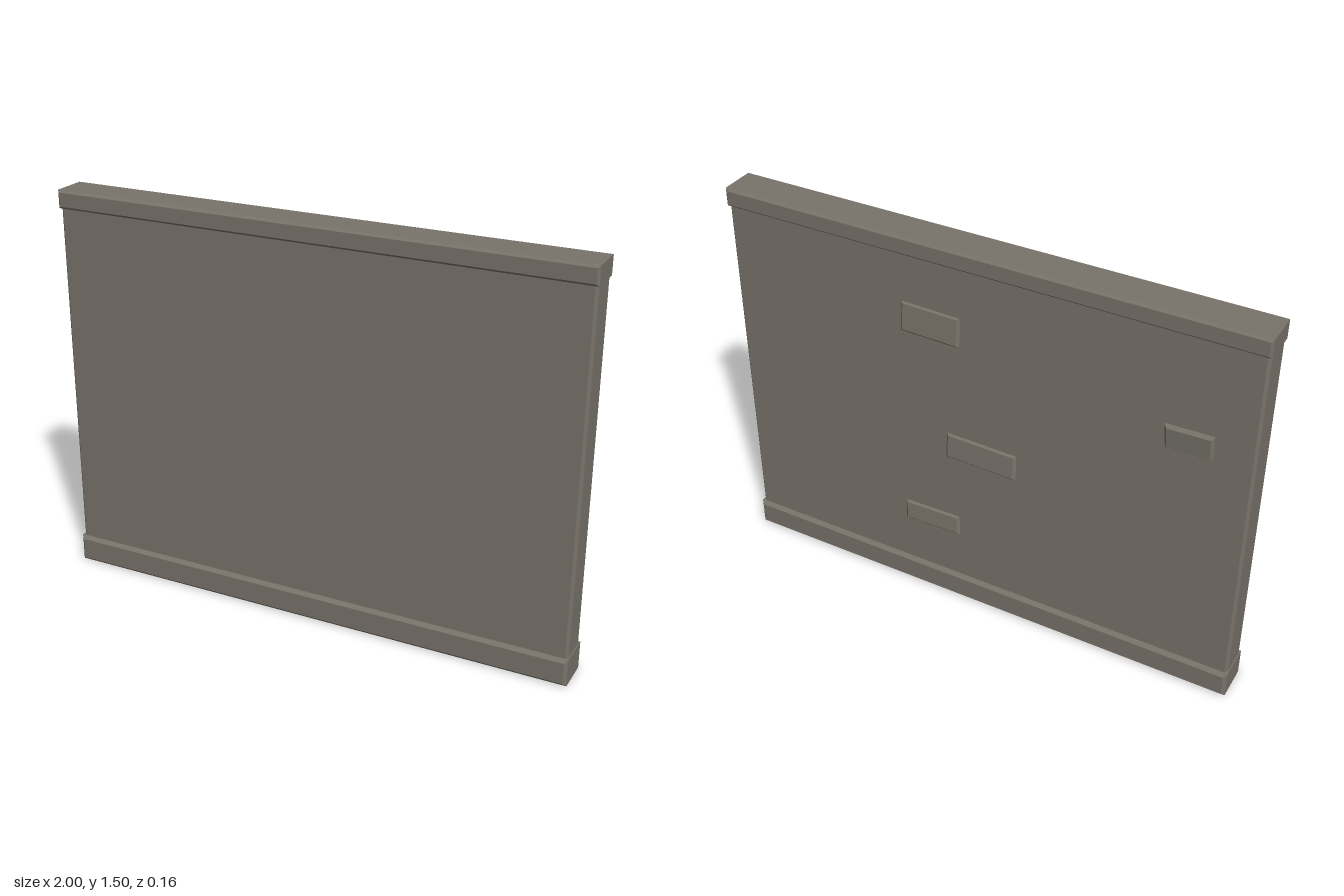
import * as THREE from 'three';

const material = new THREE.MeshStandardMaterial({ color: 0x78736a, flatShading: true });

// Box with a single flat chamfer on every edge, centred on its own origin
function chamferedBox(name, w, h, d, c) {
  const x = w / 2 - c, y = h / 2 - c;
  const shape = new THREE.Shape([
    new THREE.Vector2(-x, -y), new THREE.Vector2(x, -y),
    new THREE.Vector2(x, y), new THREE.Vector2(-x, y),
  ]);
  const geometry = new THREE.ExtrudeGeometry(shape, {
    depth: d - 2 * c, bevelEnabled: true, bevelThickness: c, bevelSize: c, bevelSegments: 1,
  });
  geometry.translate(0, 0, -(d / 2 - c));
  const mesh = new THREE.Mesh(geometry, material);
  mesh.name = name;
  return mesh;
}

export function createModel() {
  const group = new THREE.Group();
  group.name = 'wallSection';

  // Main slab, running into the base and the cap
  const slab = chamferedBox('wallSlab', 1.992, 1.42, 0.124, 0.01);
  slab.position.y = 0.75;
  group.add(slab);

  // Wider base strip and top cap
  const base = chamferedBox('baseStrip', 2, 0.105, 0.156, 0.012);
  base.position.y = 0.0525;
  group.add(base);
  const cap = chamferedBox('topCap', 2, 0.068, 0.146, 0.008);
  cap.position.y = 1.466;
  group.add(cap);

  // Raised stones on the back: x, y, width, height, tilt about x, tilt about z
  const stones = [
    [0.185, 1.19, 0.23, 0.118, 0.07, 0.02],
    [-0.77, 1.04, 0.17, 0.095, -0.08, -0.03],
    [-0.01, 0.70, 0.28, 0.105, 0.06, 0.02],
    [0.195, 0.34, 0.23, 0.084, 0.07, -0.02],
  ];
  stones.forEach(([x, y, w, h, tiltX, tiltZ], i) => {
    const stone = chamferedBox('raisedStone' + (i + 1), w, h, 0.05, 0.009);
    stone.position.set(x, y, -0.047);
    stone.rotation.set(tiltX, 0, tiltZ);
    group.add(stone);
  });

  return group;
}
